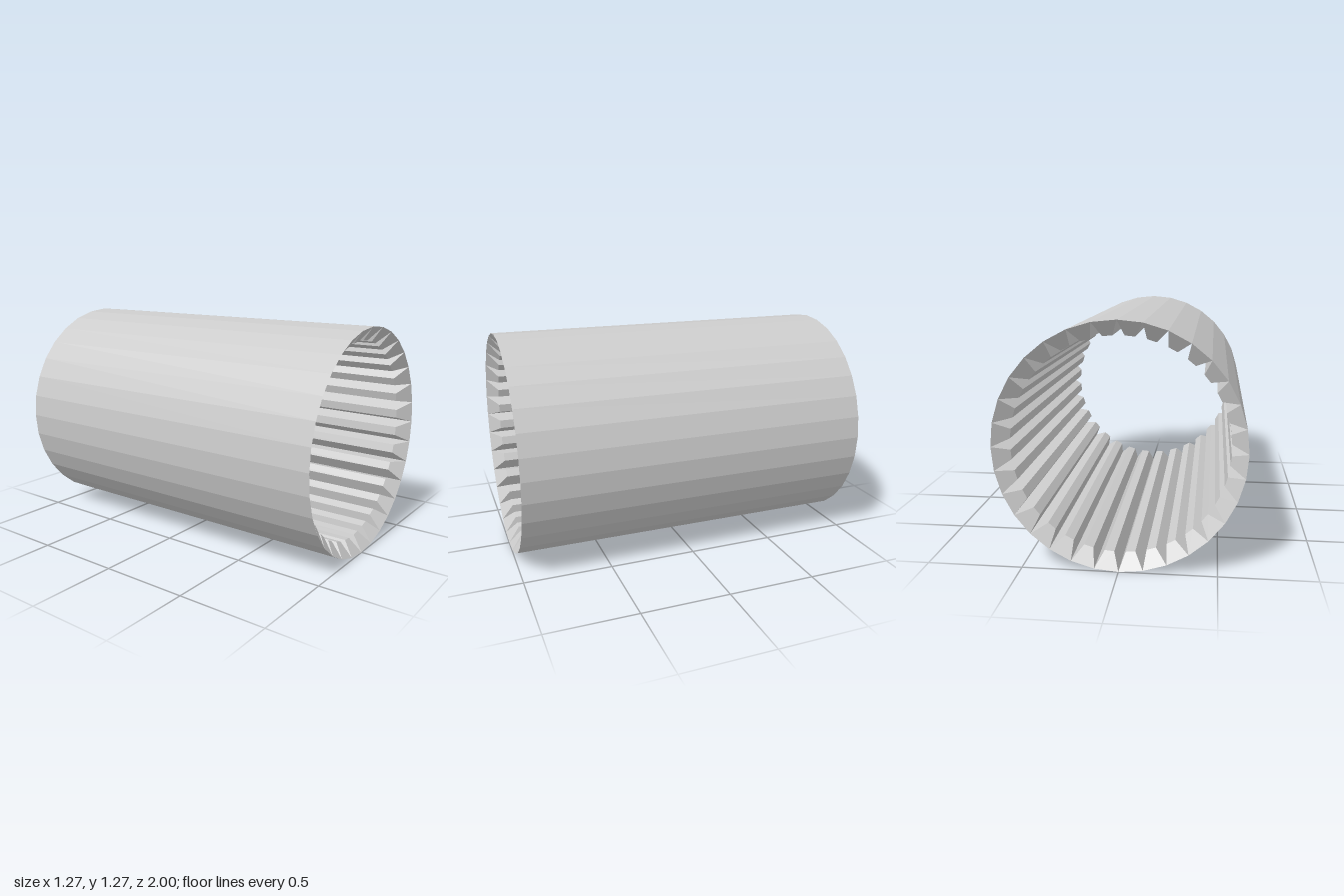
import * as THREE from 'three';

const SIDES = 32;
const RADIUS = 0.637;       // outer corner radius
const INNER = 0.556;        // distance from axis to the rib tops
const RIB_HALF = 0.025;     // half width of a rib top
const BEVEL = 0.067;        // how far the rib tops are set back at each end

// One stave: a full-width outer panel narrowing to an inner rib, with bevelled ends
function staveGeometry() {
  const step = Math.PI / SIDES;
  const outerHalf = RADIUS * Math.sin(step);
  const outerY = RADIUS * Math.cos(step);
  const geometry = new THREE.BoxGeometry(2, 2, 2);
  const pos = geometry.attributes.position;
  for (let i = 0; i < pos.count; i++) {
    const sx = Math.sign(pos.getX(i));
    const sz = Math.sign(pos.getZ(i));
    if (pos.getY(i) > 0) pos.setXYZ(i, sx * outerHalf, outerY, sz);
    else pos.setXYZ(i, sx * RIB_HALF, INNER, sz * (1 - BEVEL));
  }
  geometry.computeVertexNormals();
  return geometry;
}

export function createModel() {
  const model = new THREE.Group();
  model.name = 'ribbedTube';
  const material = new THREE.MeshStandardMaterial({ color: 0xcccccc, flatShading: true });
  const geometry = staveGeometry();

  // Ring of staves around the z axis, corners touching
  const ring = new THREE.Group();
  ring.name = 'staveRing';
  ring.position.y = RADIUS;
  for (let i = 0; i < SIDES; i++) {
    const stave = new THREE.Mesh(geometry, material);
    stave.name = `stave${i + 1}`;
    stave.rotation.z = ((i + 0.5) * 2 * Math.PI) / SIDES;
    ring.add(stave);
  }
  model.add(ring);
  return model;
}
